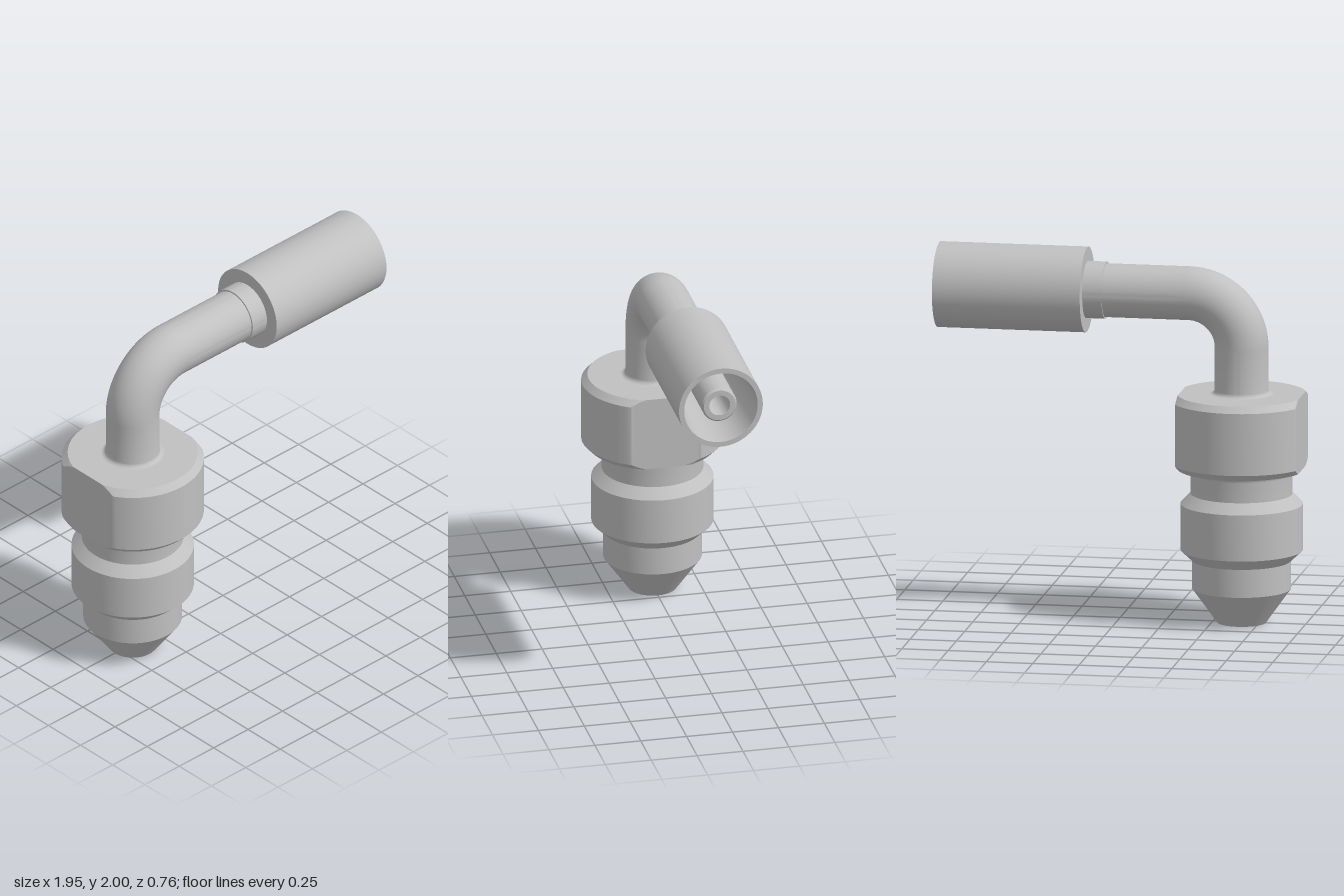
import * as THREE from 'three';
import { toCreasedNormals } from 'three/addons/utils/BufferGeometryUtils.js';

const AXIS_X = -0.655, PIPE_Y = 1.773, BEND = 0.283, PIPE_R = 0.143, BORE_R = 0.1;

export function createModel() {
  const group = new THREE.Group();
  const steel = new THREE.MeshStandardMaterial({ color: 0xc0c0c0, side: THREE.DoubleSide });
  steel.name = 'steel grey';

  const add = (name, geometry, x, y) => {
    const mesh = new THREE.Mesh(geometry, steel);
    mesh.name = name;
    mesh.position.set(x, y, 0);
    group.add(mesh);
    return mesh;
  };
  const lathe = (points, segments = 96) =>
    new THREE.LatheGeometry(points.map(([r, y]) => new THREE.Vector2(r, y)), segments);
  const crease = (geometry) => toCreasedNormals(geometry, 0.3);

  // Concave quarter fillet from (r + f, y) to (r, y + dir * f)
  const fillet = (r, y, f, dir) => Array.from({ length: 9 }, (_, i) => {
    const a = (i / 8) * Math.PI / 2;
    return [r + f * (1 - Math.sin(a)), y + dir * f * (1 - Math.cos(a))];
  });

  // Threaded end: bore, cone nose, shoulder and groove
  add('nozzleBody', crease(lathe([
    [BORE_R, 1.49], [BORE_R, 0.2], [0.112, 0.15], [0.112, 0],
    [0.13, 0], [0.263, 0.185], [0.263, 0.337], [0.325, 0.395],
    [0.325, 0.645], [0.271, 0.7],
    ...fillet(0.271, 0.836, 0.028, -1).reverse(),
  ])), AXIS_X, 0);

  // Round collar with chamfers, cut by two flats
  const chamfer = (r0, y0, r1, y1) => Array.from({ length: 9 }, (_, i) =>
    [r0 + (r1 - r0) * i / 8, y0 + (y1 - y0) * i / 8]);
  const nut = lathe([
    [0.25, 0.836], ...chamfer(0.345, 0.836, 0.378, 0.87),
    ...chamfer(0.378, 1.206, 0.345, 1.24), [0.14, 1.24],
  ], 192);
  const p = nut.attributes.position;
  for (let i = 0; i < p.count; i++) {
    p.setX(i, THREE.MathUtils.clamp(p.getX(i), -0.325, 0.325));
  }
  add('flatSidedNut', crease(nut), AXIS_X, 0);

  // Upright pipe with a small fillet at the nut
  add('uprightPipe', crease(lathe([...fillet(PIPE_R, 1.24, 0.025, 1), [PIPE_R, 1.49]])), AXIS_X, 0);

  // Quarter bend, outside and bore
  for (const [name, r] of [['elbow', PIPE_R], ['elbowBore', BORE_R]]) {
    const bend = new THREE.TorusGeometry(BEND, r, 64, 48, Math.PI / 2);
    bend.rotateZ(Math.PI / 2);
    add(name, bend, AXIS_X + BEND, PIPE_Y - BEND);
  }

  // Parts turned around the horizontal axis
  const addHorizontal = (name, points) => {
    const geometry = crease(lathe(points));
    geometry.rotateZ(-Math.PI / 2);
    add(name, geometry, 0, PIPE_Y);
  };
  addHorizontal('levelPipe', [[PIPE_R, AXIS_X + BEND], [PIPE_R, 0.075]]);
  addHorizontal('stopCollar', [[PIPE_R, 0.075], [0.152, 0.075], [0.152, 0.178]]);
  addHorizontal('crimpSleeve', [
    [0.152, 0.178], [0.228, 0.178], [0.228, 0.975], [0.2, 0.975],
    [0.172, 0.25], [0.095, 0.25],
  ]);
  addHorizontal('hoseNipple', [
    [0.095, 0.25], [0.095, 0.935], [0.086, 0.945], [0.057, 0.945],
    [0.057, 0.2], [BORE_R, 0.1], [BORE_R, AXIS_X + BEND],
  ]);

  return group;
}
